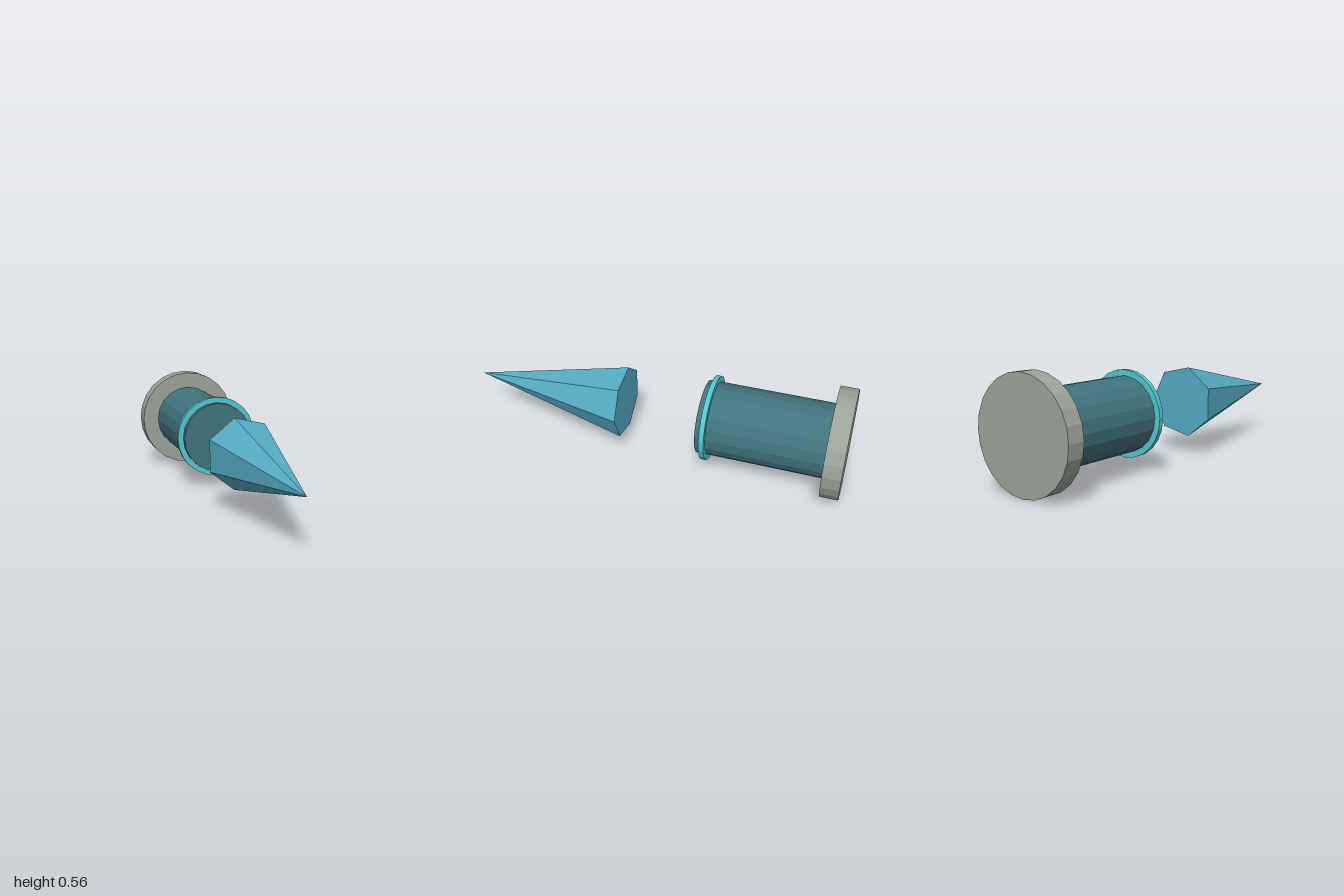
import * as THREE from 'three';

const AXIS_Y = 0.28; // height of the common axis

const paint = (name, color) => {
  const m = new THREE.MeshStandardMaterial({ color, flatShading: true });
  m.name = name;
  return m;
};

// Faceted cylinder or cone lying along z, from zBack to zFront
function turned(name, material, rBack, rFront, zBack, zFront, sides, thetaStart = 0) {
  const geo = new THREE.CylinderGeometry(rFront, rBack, zFront - zBack, sides, 1, false, thetaStart);
  geo.rotateX(Math.PI / 2);
  const mesh = new THREE.Mesh(geo, material);
  mesh.name = name;
  mesh.position.set(0, AXIS_Y, (zBack + zFront) / 2);
  return mesh;
}

export function createModel() {
  const group = new THREE.Group();
  group.name = 'spikeAndHandle';

  const stone = paint('greyStone', 0x9ca499);
  const teal = paint('darkTeal', 0x41747d);
  const cyan = paint('brightCyan', 0x52c8d0);
  const blue = paint('crystalBlue', 0x55abc4);

  group.add(
    // Wide end disc at the back
    turned('endCap', stone, 0.28, 0.28, -1, -0.907, 24),
    // Main shaft
    turned('shaft', teal, 0.19, 0.19, -0.907, -0.26, 20),
    // Thin band near the open end of the shaft
    turned('band', cyan, 0.22, 0.22, -0.315, -0.289, 24),
    // Seven-sided point floating in front, one corner towards +x
    turned('crystalTip', blue, 0.19, 0, 0.163, 1, 7, Math.PI / 2)
  );
  return group;
}
